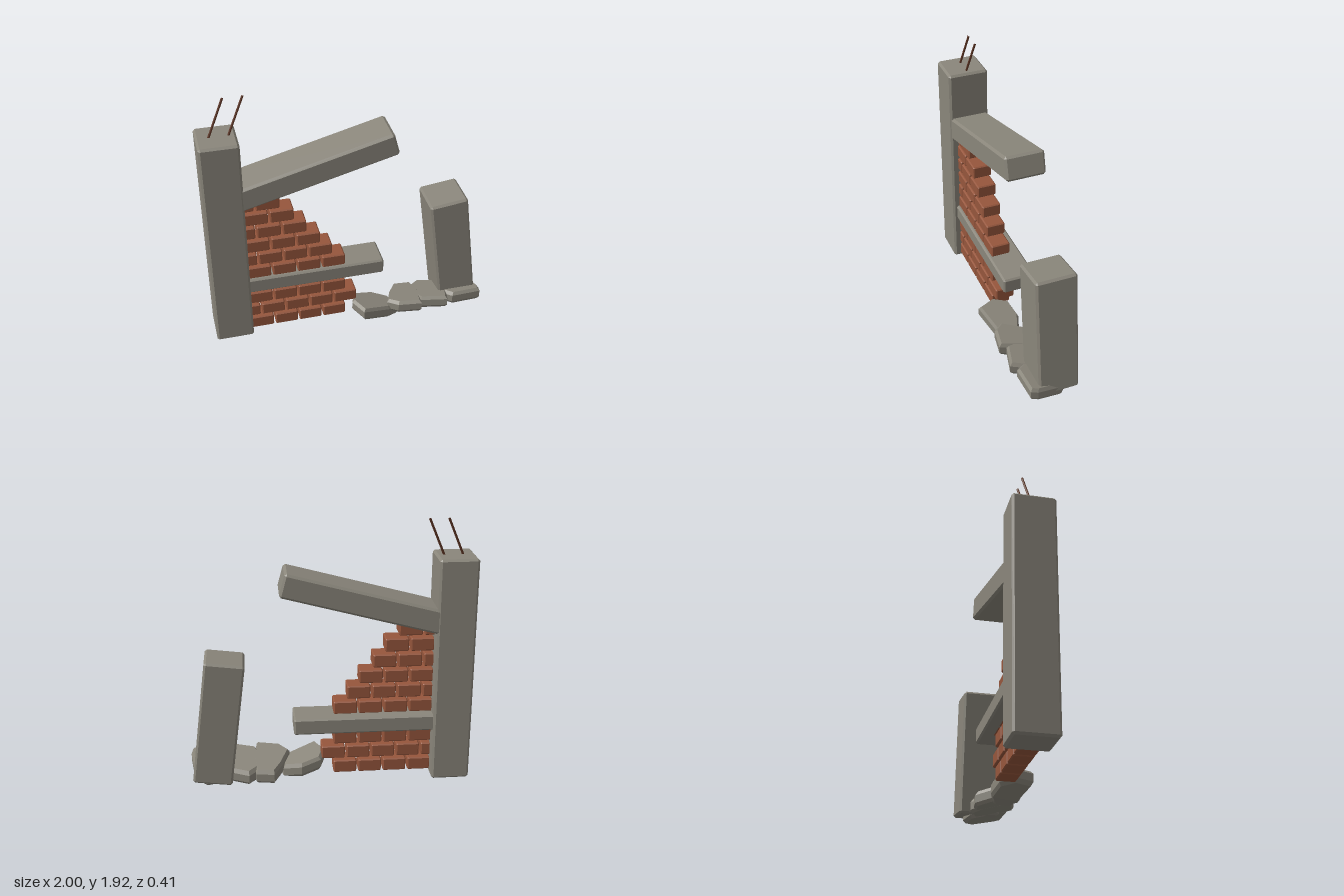
import * as THREE from 'three';
import { ConvexGeometry } from 'three/addons/geometries/ConvexGeometry.js';

const material = (name, color) => {
  const m = new THREE.MeshStandardMaterial({ color });
  m.name = name;
  return m;
};

// Box with a single flat chamfer on every edge
function chamferBox(w, h, d, c) {
  const points = [];
  for (const sx of [-1, 1]) for (const sy of [-1, 1]) for (const sz of [-1, 1]) {
    const x = sx * w / 2, y = sy * h / 2, z = sz * d / 2;
    points.push(
      new THREE.Vector3(x, y - sy * c, z - sz * c),
      new THREE.Vector3(x - sx * c, y, z - sz * c),
      new THREE.Vector3(x - sx * c, y - sy * c, z));
  }
  return new ConvexGeometry(points);
}

// Angular slab from a plan outline [x, z], with a sloping top and bevelled rims
function slab(outline, topY, slopeX, slopeZ, thickness) {
  const cx = outline.reduce((s, p) => s + p[0], 0) / outline.length;
  const cz = outline.reduce((s, p) => s + p[1], 0) / outline.length;
  const points = [];
  const layers = [[0, 0.88], [-0.025, 1], [0.025 - thickness, 1], [-thickness, 0.88]];
  for (const [drop, scale] of layers) {
    for (const [px, pz] of outline) {
      const x = cx + (px - cx) * scale, z = cz + (pz - cz) * scale;
      const y = topY + slopeX * (x - cx) + slopeZ * (z - cz) + drop;
      points.push(new THREE.Vector3(x, Math.max(y, 0), z));
    }
  }
  return new ConvexGeometry(points);
}

export function createModel() {
  const group = new THREE.Group();
  group.name = 'ruinedWall';
  const concrete = material('concrete', 0x8a867b);
  const brick = material('brick', 0x96563c);
  const rust = material('rustySteel', 0x5e3524);

  const add = (name, geometry, mat, x = 0, y = 0, z = 0, tilt = 0, parent = group) => {
    const mesh = new THREE.Mesh(geometry, mat);
    mesh.name = name;
    mesh.position.set(x, y, z);
    mesh.rotation.z = tilt;
    parent.add(mesh);
    return mesh;
  };

  // Concrete frame
  add('standingPost', chamferBox(0.27, 1.635, 0.295, 0.015), concrete, -0.865, 0.842, -0.058);
  add('brokenUpperBeam', chamferBox(1.25, 0.172, 0.282, 0.016), concrete,
    -0.277, 1.343, -0.06, THREE.MathUtils.degToRad(15));
  add('lowerBeam', chamferBox(1.1, 0.118, 0.24, 0.012), concrete, -0.293, 0.46, -0.06);
  add('leaningPost', chamferBox(0.28, 0.914, 0.295, 0.015), concrete,
    0.783, 0.505, -0.058, THREE.MathUtils.degToRad(7.3));

  // Staggered brick courses, stepping back toward the post
  const wall = new THREE.Group();
  wall.name = 'brickWall';
  group.add(wall);
  const brickGeometry = chamferBox(0.166, 0.095, 0.14, 0.008);
  [4, 5, 4, 5, 4, 4, 3, 3, 2, 2].forEach((count, row) => {
    const start = row % 2 ? -0.748 : -0.653;
    for (let i = 0; i < count; i++) {
      add('brick', brickGeometry, brick, start + i * 0.18, 0.1 + row * 0.1158, -0.03, 0, wall);
    }
  });

  // Bent reinforcing rods on top of the post
  for (const x of [-0.915, -0.785]) {
    const path = new THREE.LineCurve3(
      new THREE.Vector3(x - 0.013, 1.62, -0.056), new THREE.Vector3(x + 0.117, 1.92, -0.09));
    add('reinforcingRod', new THREE.TubeGeometry(path, 1, 0.008, 8), rust);
  }

  // Row of fallen concrete chunks
  const rubble = new THREE.Group();
  rubble.name = 'rubble';
  group.add(rubble);
  const chunks = [
    [[[0.02, 0.06], [0.08, 0.19], [0.29, 0.13], [0.36, 0.09], [0.33, -0.03], [0.2, -0.08], [0.06, -0.05]], 0.135, -0.27, 0.12],
    [[[0.28, 0.1], [0.35, 0.17], [0.52, 0.2], [0.55, 0], [0.53, -0.135], [0.4, -0.15], [0.34, -0.05]], 0.145, 0, 0.24],
    [[[0.49, 0.05], [0.53, 0.15], [0.72, 0.2], [0.75, 0.1], [0.72, -0.1], [0.58, -0.15], [0.51, -0.09]], 0.145, 0, 0.24],
    [[[0.72, 0.11], [0.77, 0.17], [0.99, 0.16], [1, 0.11], [0.97, -0.08], [0.88, -0.15], [0.75, -0.12]], 0.15, 0, 0.24]
  ];
  for (const [outline, topY, slopeX, slopeZ] of chunks) {
    add('concreteChunk', slab(outline, topY, slopeX, slopeZ, 0.105), concrete, 0, 0, 0, 0, rubble);
  }

  return group;
}
